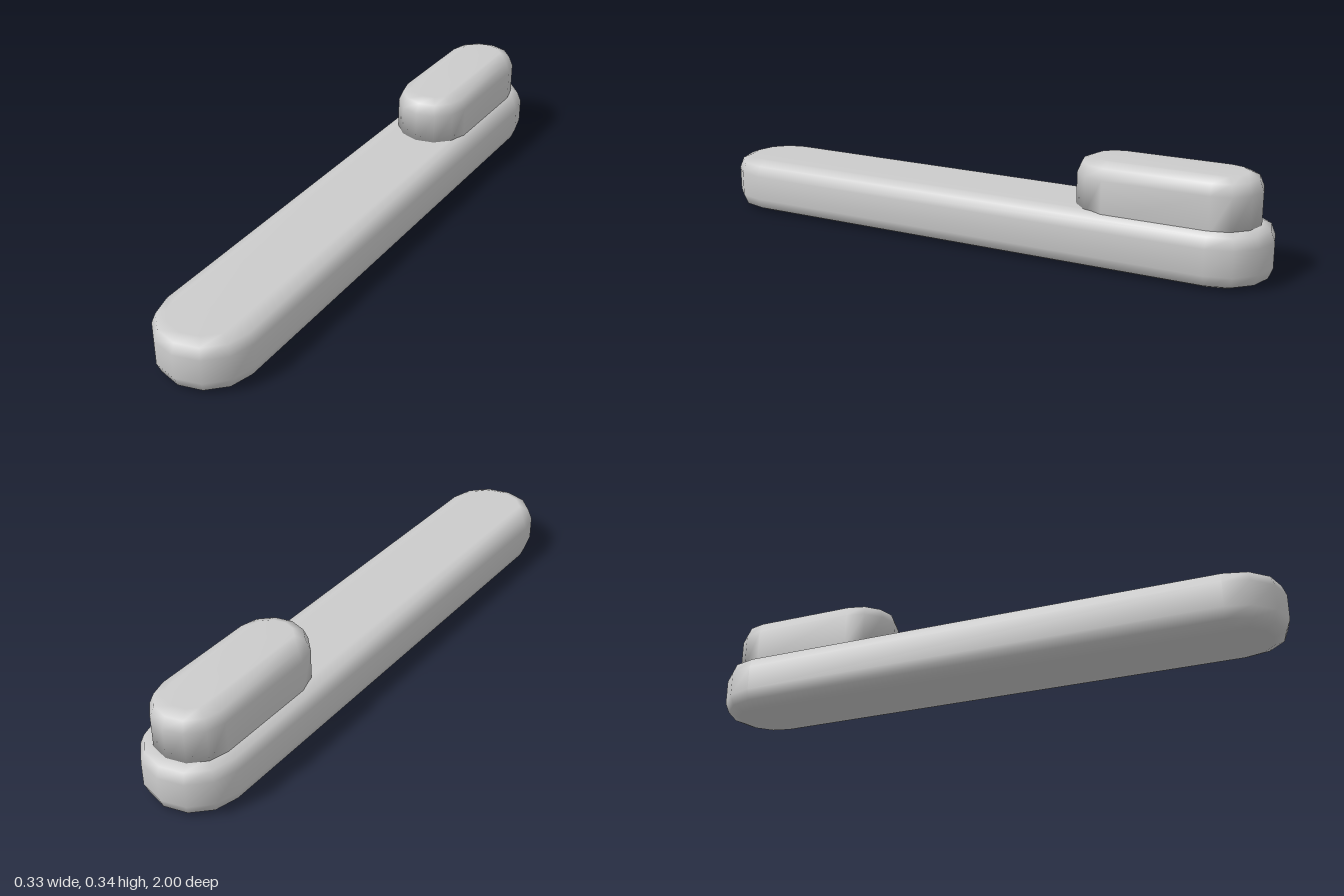
import * as THREE from 'three';

const ARC = 6; // segments per rounded end

// Pill-shaped solid lofted through [radius, y] levels, straight part between z0 and z1
function pill(name, levels, z0, z1) {
  const n = 2 * (ARC + 1), pos = [], idx = [];
  for (const [r, y] of levels) {
    for (let i = 0; i < n; i++) {
      const front = i <= ARC;
      const a = Math.PI * (front ? i : i - 1) / ARC;
      pos.push(r * Math.cos(a), y, r * Math.sin(a) + (front ? z1 : z0));
    }
  }
  // walls
  for (let j = 0; j < levels.length - 1; j++) {
    for (let i = 0; i < n; i++) {
      const a = j * n + i, b = j * n + (i + 1) % n;
      idx.push(a, a + n, b, b, a + n, b + n);
    }
  }
  // lengthwise strips closing the bottom and top
  const t = (levels.length - 1) * n;
  for (let i = 0; i < ARC; i++) {
    const a = i, b = i + 1, c = n - 2 - i, d = n - 1 - i;
    idx.push(a, b, c, a, c, d);
    idx.push(t + a, t + c, t + b, t + a, t + d, t + c);
  }
  const geo = new THREE.BufferGeometry();
  geo.setAttribute('position', new THREE.Float32BufferAttribute(pos, 3));
  geo.setIndex(idx);
  geo.computeVertexNormals();
  const mesh = new THREE.Mesh(geo, new THREE.MeshStandardMaterial({ color: 0xcccccc }));
  mesh.name = name;
  return mesh;
}

export function createModel() {
  const group = new THREE.Group();
  group.name = 'handle';
  // long bar with softened top and bottom edges
  group.add(pill('bar', [
    [0.118, 0], [0.153, 0.015], [0.167, 0.05],
    [0.167, 0.134], [0.153, 0.169], [0.118, 0.183],
  ], -0.833, 0.833));
  // short raised block at the back end, sunk slightly into the bar
  group.add(pill('raisedBlock', [
    [0.127, 0.165], [0.127, 0.287], [0.112, 0.323], [0.077, 0.338],
  ], -0.83, -0.482));
  return group;
}
